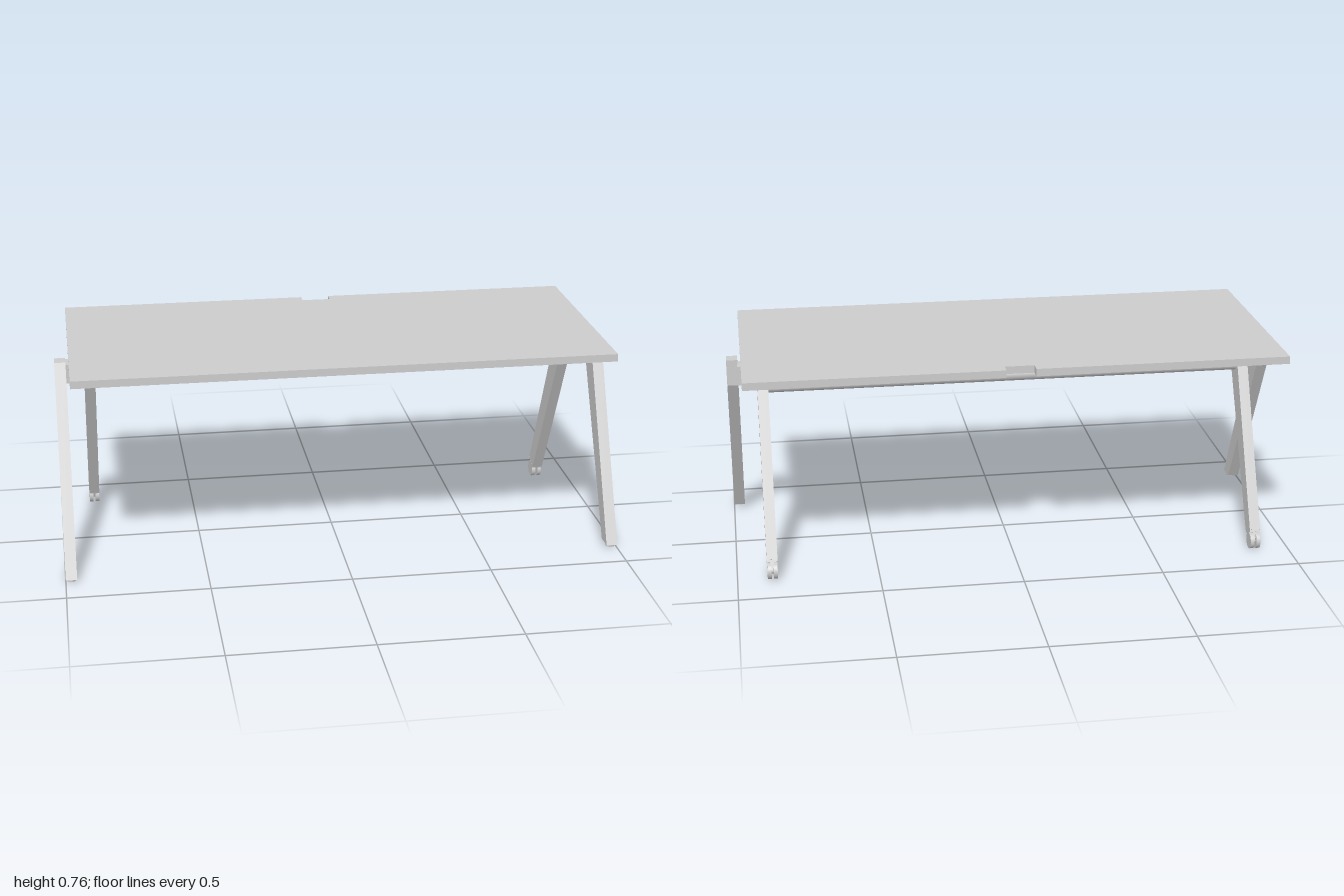
import * as THREE from 'three';

const mat = new THREE.MeshStandardMaterial({ color: 0xcccccc });

function add(parent, name, geometry, x = 0, y = 0, z = 0) {
  const mesh = new THREE.Mesh(geometry, mat);
  mesh.name = name;
  mesh.position.set(x, y, z);
  parent.add(mesh);
  return mesh;
}

// Extrudes a [z, y] outline along x, centred on x = 0
function sideProfile(points, width) {
  const shape = new THREE.Shape(points.map(([z, y]) => new THREE.Vector2(z, y)));
  const g = new THREE.ExtrudeGeometry(shape, { depth: width, bevelEnabled: false });
  return g.translate(0, 0, -width / 2).rotateY(-Math.PI / 2);
}

// Cylinder lying along x
function rod(radius, length, segments) {
  return new THREE.CylinderGeometry(radius, radius, length, segments).rotateZ(Math.PI / 2);
}

function createCaster() {
  const caster = new THREE.Group();
  caster.name = 'caster';
  for (const s of [-1, 1]) add(caster, 'casterWheel', rod(0.03, 0.014, 32), s * 0.011, 0.031, -0.34);
  add(caster, 'casterAxle', rod(0.012, 0.012, 16), 0, 0.031, -0.34);
  // Mounting plate and stem follow the slope of the leg end
  const mount = new THREE.Group();
  mount.name = 'casterMount';
  mount.position.set(0, 0.0635, -0.3275);
  mount.rotation.x = 0.44;
  add(mount, 'casterPlate', new THREE.BoxGeometry(0.038, 0.008, 0.056), 0, -0.002, 0);
  add(mount, 'casterStem', new THREE.BoxGeometry(0.014, 0.024, 0.036), 0, -0.016, 0);
  caster.add(mount);
  return caster;
}

function createEnd(s) {
  const end = new THREE.Group();
  end.name = s > 0 ? 'leftEnd' : 'rightEnd';

  // Outer leg leaning forward, with a levelling foot
  add(end, 'frontLeg', sideProfile(
    [[0, 0.705], [0, 0.61], [0.323, 0.012], [0.385, 0.012], [0.052, 0.705]], 0.04), s * 0.98);
  add(end, 'frontFoot', new THREE.CylinderGeometry(0.015, 0.015, 0.014, 24), s * 0.98, 0.007, 0.36);

  // Inner leg leaning back, with a twin-wheel caster
  add(end, 'backLeg', sideProfile(
    [[0, 0.705], [-0.052, 0.705], [-0.353, 0.078], [-0.3, 0.053], [0, 0.61]], 0.038), s * 0.876);
  const caster = createCaster();
  caster.position.x = s * 0.876;
  end.add(caster);

  // Block joining the two legs
  add(end, 'legConnector', new THREE.BoxGeometry(0.1, 0.07, 0.066), s * 0.912, 0.655, 0.002);

  // Winged bracket carrying the top
  const half = [[0.21, 0.735], [0.21, 0.717], [0.2, 0.709], [0.06, 0.679], [0.045, 0.63]];
  const mirrored = half.map(([z, y]) => [-z, y]).reverse();
  add(end, 'topBracket', sideProfile([...half, ...mirrored], 0.034), s * 0.815);
  return end;
}

export function createModel() {
  const table = new THREE.Group();
  table.name = 'foldingTable';

  // Top with a cable notch in the back edge
  const outline = [[-0.95, -0.42], [0.95, -0.42], [0.95, 0.42], [0.052, 0.42],
    [0.052, 0.38], [-0.052, 0.38], [-0.052, 0.42], [-0.95, 0.42]];
  const shape = new THREE.Shape(outline.map(([x, y]) => new THREE.Vector2(x, y)));
  const top = new THREE.ExtrudeGeometry(shape, { depth: 0.027, bevelEnabled: false });
  add(table, 'tableTop', top.rotateX(-Math.PI / 2), 0, 0.735, 0);

  // Beam under the top and round tube between the back legs
  add(table, 'topBeam', new THREE.BoxGeometry(1.6, 0.05, 0.05), 0, 0.71, 0);
  add(table, 'crossTube', rod(0.024, 1.72, 32), 0, 0.619, -0.048);

  for (const s of [-1, 1]) table.add(createEnd(s));
  return table;
}
